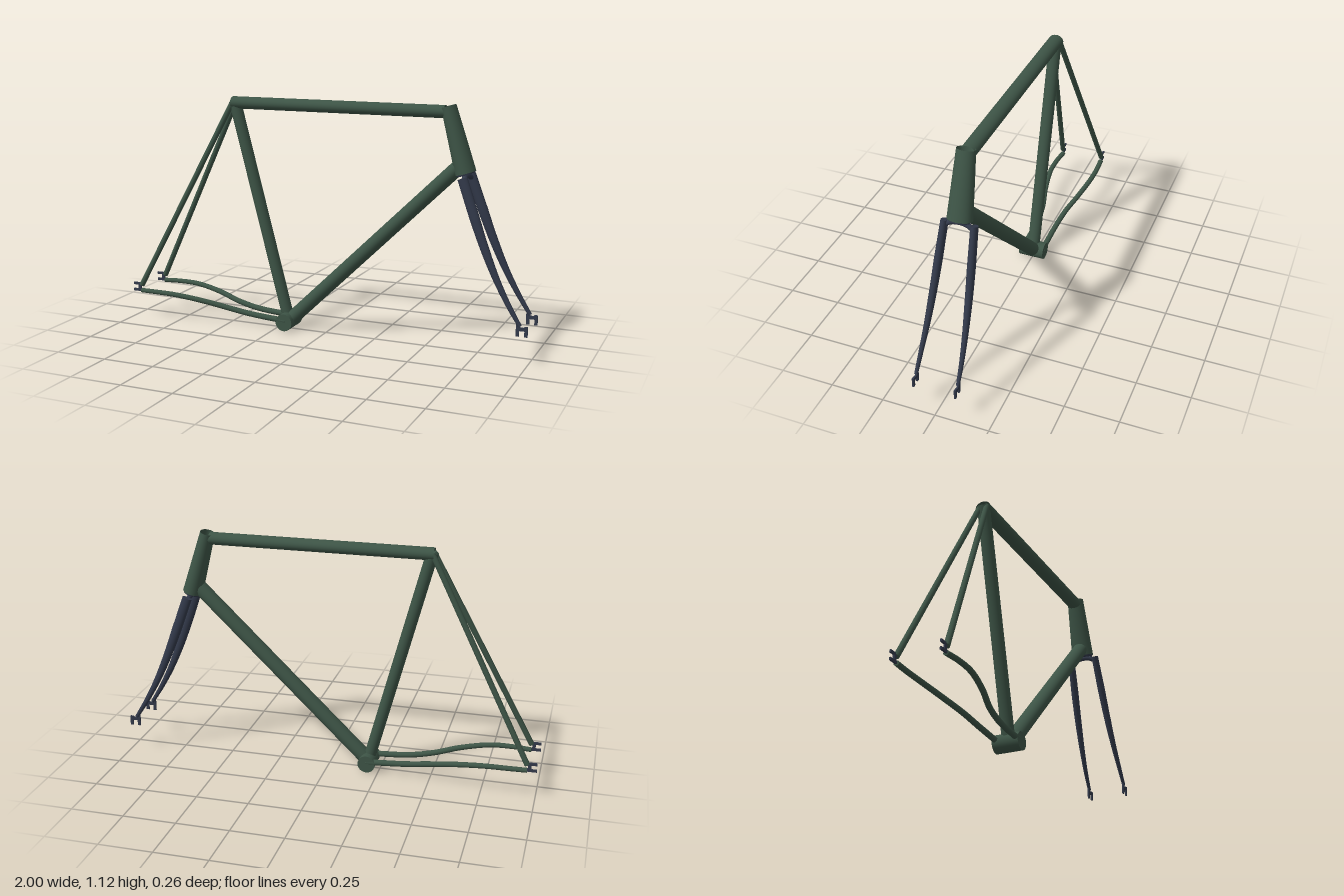
import * as THREE from 'three';
import { ParametricGeometry } from 'three/addons/geometries/ParametricGeometry.js';
import { mergeGeometries } from 'three/addons/utils/BufferGeometryUtils.js';

const V = (x, y, z = 0) => new THREE.Vector3(x, y, z);
const Z = V(0, 0, 1);
const green = new THREE.MeshStandardMaterial({ color: 0x3d5446, side: THREE.DoubleSide });
const blue = new THREE.MeshStandardMaterial({ color: 0x32394a, side: THREE.DoubleSide });

// Oval tube along a path. Each radius pair is [in the side plane, across z], spread evenly along the path.
function sweep(points, radii, { caps = true, stacks = 32, slices = 28 } = {}) {
  const curve = points.length > 2 ? new THREE.CatmullRomCurve3(points) : new THREE.LineCurve3(...points);
  const radiusAt = (v) => {
    const f = THREE.MathUtils.clamp(v, 0, 1) * (radii.length - 1);
    const i = Math.min(Math.floor(f), Math.max(radii.length - 2, 0));
    const a = radii[i], b = radii[Math.min(i + 1, radii.length - 1)];
    return [0, 1].map((k) => THREE.MathUtils.lerp(a[k], b[k], f - i));
  };
  const frameAt = (v) => {
    const t = curve.getTangentAt(v);
    const b = Z.clone().addScaledVector(t, -Z.dot(t)).normalize();
    return { p: curve.getPointAt(v), t, b, n: b.clone().cross(t) };
  };
  const wall = new ParametricGeometry((u, v, out) => {
    const { p, n, b } = frameAt(THREE.MathUtils.clamp(v, 0, 1));
    const [rn, rb] = radiusAt(v), a = u * Math.PI * 2;
    out.copy(p).addScaledVector(n, rn * Math.cos(a)).addScaledVector(b, rb * Math.sin(a));
  }, slices, points.length > 2 ? stacks : 4);
  if (!caps) return wall;
  const ends = [0, 1].map((v) => {
    const { p, t, n, b } = frameAt(v), [rn, rb] = radiusAt(v);
    const disc = new THREE.CircleGeometry(1, slices);
    const basis = new THREE.Matrix4();
    if (v) { disc.scale(rn, rb, 1); basis.makeBasis(n, b, t); }
    else { disc.scale(rb, rn, 1); basis.makeBasis(b, n, t.clone().negate()); }
    return disc.applyMatrix4(basis.setPosition(p));
  });
  return mergeGeometries([wall, ...ends]);
}

// Slotted plate, slot opening downward
function dropoutGeometry() {
  const s = new THREE.Shape();
  [[-0.026, -0.028], [-0.012, -0.028], [-0.012, -0.002], [0.012, -0.002], [0.012, -0.028], [0.026, -0.028],
    [0.026, 0.018], [0.012, 0.018], [0.006, 0.013], [-0.008, 0.013], [-0.014, 0.027], [-0.026, 0.027]]
    .forEach(([x, y], i) => (i ? s.lineTo(x, y) : s.moveTo(x, y)));
  return new THREE.ExtrudeGeometry(s, { depth: 0.008, bevelEnabled: false }).translate(0, 0, -0.004);
}

export function createModel() {
  const model = new THREE.Group();
  const frame = new THREE.Group();
  frame.name = 'frame';
  const fork = new THREE.Group();
  fork.name = 'fork';
  model.add(frame, fork);
  const add = (parent, name, geometry, material) => {
    const mesh = new THREE.Mesh(geometry, material);
    mesh.name = name;
    parent.add(mesh);
    return mesh;
  };

  // Main triangle
  const headTop = V(0.588, 1.113), headBottom = V(0.673, 0.82);
  const open = { caps: false };
  add(frame, 'headTube', sweep([headTop, headBottom], [[0.034, 0.042], [0.047, 0.057]], open), green);
  add(frame, 'topTube', sweep([V(-0.48, 1.087), V(0.575, 1.087)], [[0.029, 0.036]], open), green);
  add(frame, 'seatTube', sweep([V(-0.195, 0.045), V(-0.472, 1.095)], [[0.028, 0.03]], open), green);
  add(frame, 'downTube', sweep([V(-0.19, 0.04), V(0.637, 0.842)], [[0.034, 0.039]], open), green);
  const shell = new THREE.CylinderGeometry(0.042, 0.042, 0.126, 36).rotateX(Math.PI / 2);
  add(frame, 'bottomBracketShell', shell.translate(-0.195, 0.043, 0), green);

  // Fork crown: a cap under the head tube and an arch joining the blades
  const down = headBottom.clone().sub(headTop).normalize();
  add(fork, 'crownCap', sweep(
    [headBottom.clone().addScaledVector(down, -0.01), headBottom.clone().addScaledVector(down, 0.007)],
    [[0.045, 0.055], [0.042, 0.051]]), blue);
  const arch = new THREE.CatmullRomCurve3(
    [V(0.685, 0.788, -0.068), V(0.678, 0.803, -0.035), V(0.676, 0.807, 0), V(0.678, 0.803, 0.035), V(0.685, 0.788, 0.068)]);
  add(fork, 'crownArch', new THREE.TubeGeometry(arch, 24, 0.012, 14), blue);

  // Mirrored stays, blades and dropouts
  for (const s of [1, -1]) {
    const side = s > 0 ? 'left' : 'right';
    add(frame, side + 'SeatStay',
      sweep([V(-0.475, 1.09, s * 0.018), V(-0.955, 0.163, s * 0.112)], [[0.013, 0.013]]), green);
    add(frame, side + 'ChainStay', sweep(
      [[-0.955, 0.135, 0.11], [-0.87, 0.137, 0.117], [-0.76, 0.134, 0.115], [-0.62, 0.113, 0.092],
        [-0.5, 0.085, 0.063], [-0.38, 0.064, 0.051], [-0.19, 0.05, 0.05]].map(([x, y, z]) => V(x, y, s * z)),
      [[0.011, 0.013], [0.013, 0.013], [0.014, 0.014]], { stacks: 48 }), green);
    add(fork, side + 'ForkBlade', sweep(
      [[0.678, 0.806, 0.067], [0.731, 0.66, 0.074], [0.786, 0.515, 0.081], [0.848, 0.375, 0.088],
        [0.909, 0.262, 0.094], [0.962, 0.177, 0.097]].map(([x, y, z]) => V(x, y, s * z)),
      [[0.023, 0.016], [0.023, 0.018], [0.019, 0.016], [0.014, 0.012], [0.009, 0.008]]), blue);
    add(fork, side + 'ForkDropout', dropoutGeometry(), blue).position.set(0.971, 0.159, s * 0.097);
    const rear = add(frame, side + 'RearDropout', dropoutGeometry(), blue);
    rear.scale.x = 0.85;
    rear.rotation.z = -Math.PI / 2;
    rear.position.set(-0.972, 0.153, s * 0.112);
  }
  return model;
}
